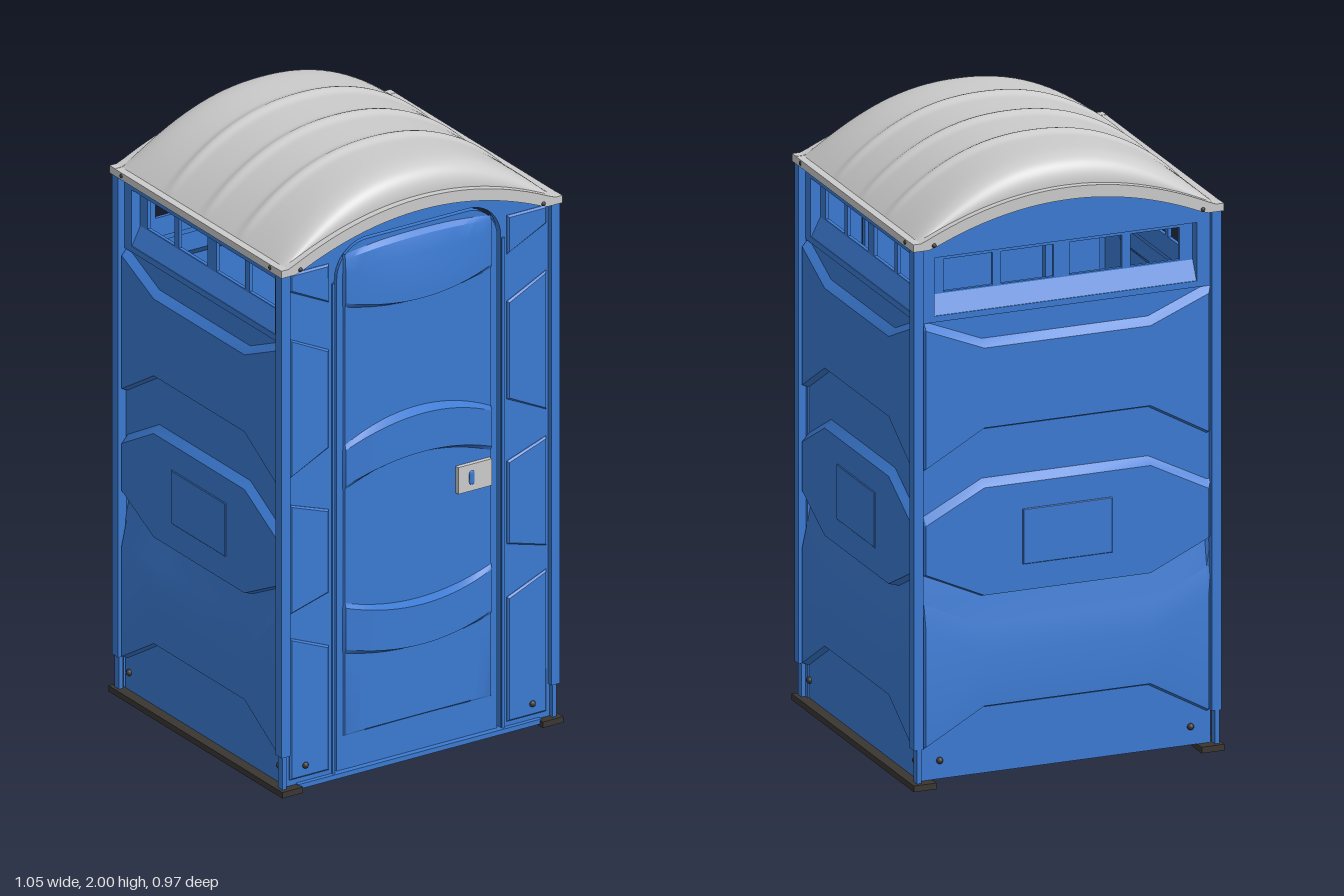
import * as THREE from 'three';
import { toCreasedNormals } from 'three/addons/utils/BufferGeometryUtils.js';

const blue = new THREE.MeshStandardMaterial({ color: 0x3b7ad2, side: THREE.DoubleSide });
const grey = new THREE.MeshStandardMaterial({ color: 0xcccccc, side: THREE.DoubleSide });
const dark = new THREE.MeshStandardMaterial({ color: 0x3a3632 });

const clamp = THREE.MathUtils.clamp;
const archLow = x => 1.755 + 0.105 * Math.max(0, 1 - (x / 0.46) ** 2);
const archHigh = x => 1.78 + 0.12 * Math.max(0, 1 - (x / 0.49) ** 2);

function add(parent, name, geometry, material, x = 0, y = 0, z = 0) {
  const mesh = new THREE.Mesh(geometry, material);
  mesh.name = name;
  mesh.position.set(x, y, z);
  parent.add(mesh);
  return mesh;
}

// box given by its limits
function block(parent, name, material, x0, x1, y0, y1, z0, z1) {
  return add(parent, name, new THREE.BoxGeometry(x1 - x0, y1 - y0, z1 - z0), material,
    (x0 + x1) / 2, (y0 + y1) / 2, (z0 + z1) / 2);
}

function polygon(points) {
  return new THREE.Shape(points.map(p => new THREE.Vector2(p[0], p[1])));
}

const rect = (x0, x1, y0, y1) => polygon([[x0, y0], [x1, y0], [x1, y1], [x0, y1]]);

function plate(shape, depth, bevel = 0) {
  return new THREE.ExtrudeGeometry(shape, {
    depth, curveSegments: 10, bevelEnabled: bevel > 0, bevelSize: bevel,
    bevelThickness: bevel, bevelOffset: -bevel, bevelSegments: 1
  });
}

// points of a curve y = f(x) between two x values
function sample(f, x0, x1, n = 24) {
  return Array.from({ length: n + 1 }, (_, i) => {
    const x = x0 + (x1 - x0) * i / n;
    return [x, f(x)];
  });
}

// embossed sheet: rows are [y, bend, depth], bent and swollen across the columns
function relief(rows, cols, bend, swell) {
  const pos = [], index = [], n = cols.length;
  rows.forEach(([y, k, d], i) => cols.forEach((u, j) => {
    pos.push(u, y + k * bend(u), swell(u, d, j === 0 || j === n - 1));
    if (i && j) {
      const c = i * n + j, a = c - n - 1;
      index.push(a, a + 1, c, a, c, c - 1);
    }
  }));
  const g = new THREE.BufferGeometry();
  g.setAttribute('position', new THREE.Float32BufferAttribute(pos, 3));
  g.setIndex(index);
  return toCreasedNormals(g, 0.4);
}

const wallRows = [
  [0.02, 0, 0], [0.235, -0.11, 0], [0.245, -0.11, 0.022], [0.41, 0.1, 0.022],
  [0.5, 0.095, 0.004], [0.595, 0.09, -0.012], [0.605, 0.09, 0.022], [0.955, -0.1, 0.022],
  [0.98, -0.1, 0], [1.14, -0.11, 0], [1.15, -0.11, 0.022], [1.41, 0.08, 0.022],
  [1.435, 0.08, 0], [1.52, 0, 0]
];

// wall with embossed bands, sign plate and ventilation windows, facing +z
function makeWall(name, half, dist, turn, top) {
  const wall = new THREE.Group();
  wall.name = name;
  const cols = [-1, -0.97, -0.57, 0, 0.57, 0.97, 1].map(t => t * half);
  add(wall, 'embossedPanel', relief(wallRows, cols,
    u => clamp((Math.abs(u) / half - 0.57) / 0.4, 0, 1),
    (u, d, end) => end ? 0 : d), blue, 0, 0, dist);
  add(wall, 'signPlate', plate(rect(-0.15, 0.15, 0.69, 0.87), 0.005, 0.002), blue, 0, 0, dist + 0.019);

  // window surround
  const w = half * 0.9, surround = polygon([[-half, 1.51], [half, 1.51], ...sample(top, half, -half)]);
  surround.holes.push(rect(-w, w, 1.53, 1.72));
  add(wall, 'windowSurround', plate(surround, 0.035), blue, 0, 0, dist - 0.028);

  // recessed grille with four openings
  const grille = rect(-w, w, 1.53, 1.73), s = half / 0.445;
  for (const [a, b] of [[-0.36, -0.21], [-0.185, -0.025], [0.025, 0.185], [0.21, 0.36]])
    grille.holes.push(rect(a * s, b * s, 1.595, 1.7));
  add(wall, 'windowGrille', plate(grille, 0.012), blue, 0, 0, dist - 0.038);
  const sill = add(wall, 'windowSill', plate(polygon([[0, 0], [0.03, 0], [0, 0.06]]), 2 * w),
    blue, w, 1.53, dist - 0.026);
  sill.rotation.y = -Math.PI / 2;
  wall.rotation.y = turn;
  return wall;
}

function doorOutline(w, y0, y1, r) {
  const arc = [];
  for (let i = 0; i <= 10; i++) {
    const a = i / 10 * Math.PI / 2;
    arc.push([w - r + r * Math.cos(a), y1 - r + r * Math.sin(a)]);
  }
  return [[w, y0], ...arc, ...arc.map(([x, y]) => [-x, y]).reverse(), [-w, y0]];
}

const doorRows = [
  [0.14, 0, -0.006], [0.145, 0, 0], [0.42, -0.04, 0], [0.435, -0.04, 0.03], [0.575, -0.045, 0.03],
  [0.59, -0.05, 0], [0.97, 0.06, 0], [0.985, 0.06, 0.03], [1.105, 0.07, 0.03], [1.12, 0.07, 0],
  [1.59, -0.04, 0], [1.605, -0.04, 0.03], [1.7, 0.02, 0.028], [1.75, 0.02, 0.012], [1.765, 0.02, -0.006]
];

function makeFront() {
  const front = new THREE.Group();
  front.name = 'front';
  // frame around the doorway
  const frame = polygon([[0.49, 0.02], ...sample(archLow, 0.49, -0.49), [-0.49, 0.02],
    ...doorOutline(0.308, 0.02, 1.808, 0.12).reverse()]);
  add(front, 'doorFrame', plate(frame, 0.025), blue, 0, 0, 0.43);

  // raised side panels
  for (const s of [-1, 1]) {
    for (const [a, b, c, d] of [[1.13, 1.06, 1.53, 1.46], [0.64, 0.6, 0.97, 0.92], [0.04, 0.04, 0.52, 0.46],
      [1.62, 1.69, 1.75, 1.75]]) {
      const pts = [[0.33 * s, a], [0.475 * s, b], [0.475 * s, c], [0.33 * s, d]];
      add(front, 'sidePanel', plate(polygon(s > 0 ? pts : pts.reverse()), 0.004, 0.006), blue, 0, 0, 0.453);
    }
    block(front, 'doorJamb', blue, s * 0.314 - 0.005, s * 0.314 + 0.005, 0.02, 1.68, 0.45, 0.462);
  }

  // door with bulging bands
  const door = new THREE.Group();
  door.name = 'door';
  add(door, 'doorSlab', plate(polygon(doorOutline(0.297, 0.025, 1.798, 0.112)), 0.022), blue, 0, 0, 0.43);
  const cols = [-0.275, ...Array.from({ length: 17 }, (_, i) => -0.27 + 0.54 * i / 16), 0.275];
  add(door, 'doorPanel', relief(doorRows, cols, u => 1 - (u / 0.275) ** 2,
    (u, d, end) => end ? -0.006 : d * (0.2 + 0.8 * (1 - (u / 0.275) ** 2))), blue, 0, 0, 0.457);
  block(door, 'latchPlate', grey, 0.14, 0.265, 0.86, 0.95, 0.45, 0.472);
  const grip = add(door, 'latchKnob', new THREE.CapsuleGeometry(0.01, 0.028, 4, 10), blue, 0.19, 0.905, 0.472);
  grip.scale.z = 0.4;
  front.add(door);
  return front;
}

function makeRoof() {
  const roof = new THREE.Group();
  roof.name = 'roof';
  // domed shell with three cross ribs
  const g = new THREE.PlaneGeometry(2, 2, 48, 160).rotateX(-Math.PI / 2);
  const p = g.attributes.position;
  for (let i = 0; i < p.count; i++) {
    const x = 0.495 * Math.sin(p.getX(i) * Math.PI / 2), z = 0.457 * Math.sin(p.getZ(i) * Math.PI / 2);
    const crown = 1.78 + 0.21 * (1 - Math.abs(x / 0.495) ** 2.2);
    const edge = Math.sqrt(Math.max(0, 1 - Math.abs(z / 0.457) ** 14));
    let rib = 0;
    for (const c of [-0.2, 0, 0.2]) rib += Math.exp(-(((z - c) / 0.019) ** 2));
    const low = archHigh(x) - 0.004;
    p.setXYZ(i, x, low + (crown - low) * edge + 0.011 * rib * (1 - (x / 0.495) ** 8), z);
  }
  g.computeVertexNormals();
  add(roof, 'dome', g, grey);

  // arched rims at the front and back, straight rims at the sides
  const rim = polygon([...sample(archLow, -0.52, 0.52, 40), ...sample(archHigh, 0.52, -0.52, 40)]);
  for (const s of [-1, 1]) {
    add(roof, 'archedRim', plate(rim, 0.03), grey, 0, 0, s > 0 ? 0.45 : -0.48);
    block(roof, 'sideRim', grey, s * 0.5025 - 0.0175, s * 0.5025 + 0.0175, 1.755, 1.779, -0.478, 0.478);
  }
  return roof;
}

export function createModel() {
  const model = new THREE.Group();
  model.name = 'portableCabin';
  model.add(
    makeFront(),
    makeWall('leftWall', 0.445, 0.485, Math.PI / 2, () => 1.765),
    makeWall('rightWall', 0.445, 0.485, -Math.PI / 2, () => 1.765),
    makeWall('backWall', 0.488, 0.45, Math.PI, archLow),
    makeRoof()
  );
  block(model, 'threshold', blue, -0.45, 0.45, 0.008, 0.024, 0.43, 0.47);

  const bolt = new THREE.SphereGeometry(0.011, 12, 8);
  for (const sx of [-1, 1]) {
    // skids under the side walls
    block(model, 'skid', dark, sx * 0.482 - 0.038, sx * 0.482 + 0.038, 0, 0.02, -0.485, 0.485);
    for (const sz of [-1, 1]) {
      // corner posts and their feet
      const x = sx * 0.499, z = sz * 0.457;
      block(model, 'cornerPost', blue, x - 0.016, x + 0.016, 0.13, 1.757, z - 0.017, z + 0.017);
      block(model, 'postFoot', blue, x - 0.01, x + 0.005, 0.02, 0.13, z - 0.013, z + 0.013);
      // bolts at the base and the roof rim
      add(model, 'baseBolt', bolt, dark, sx * 0.42, 0.08, sz > 0 ? 0.462 : -0.452);
      add(model, 'baseBolt', bolt, dark, sx * 0.487, 0.08, sz * 0.42);
      add(model, 'rimBolt', bolt, dark, sx * 0.45, 1.768, sz * 0.478).scale.setScalar(0.7);
      add(model, 'rimBolt', bolt, dark, sx * 0.517, 1.768, sz * 0.415).scale.setScalar(0.7);
    }
  }
  return model;
}
